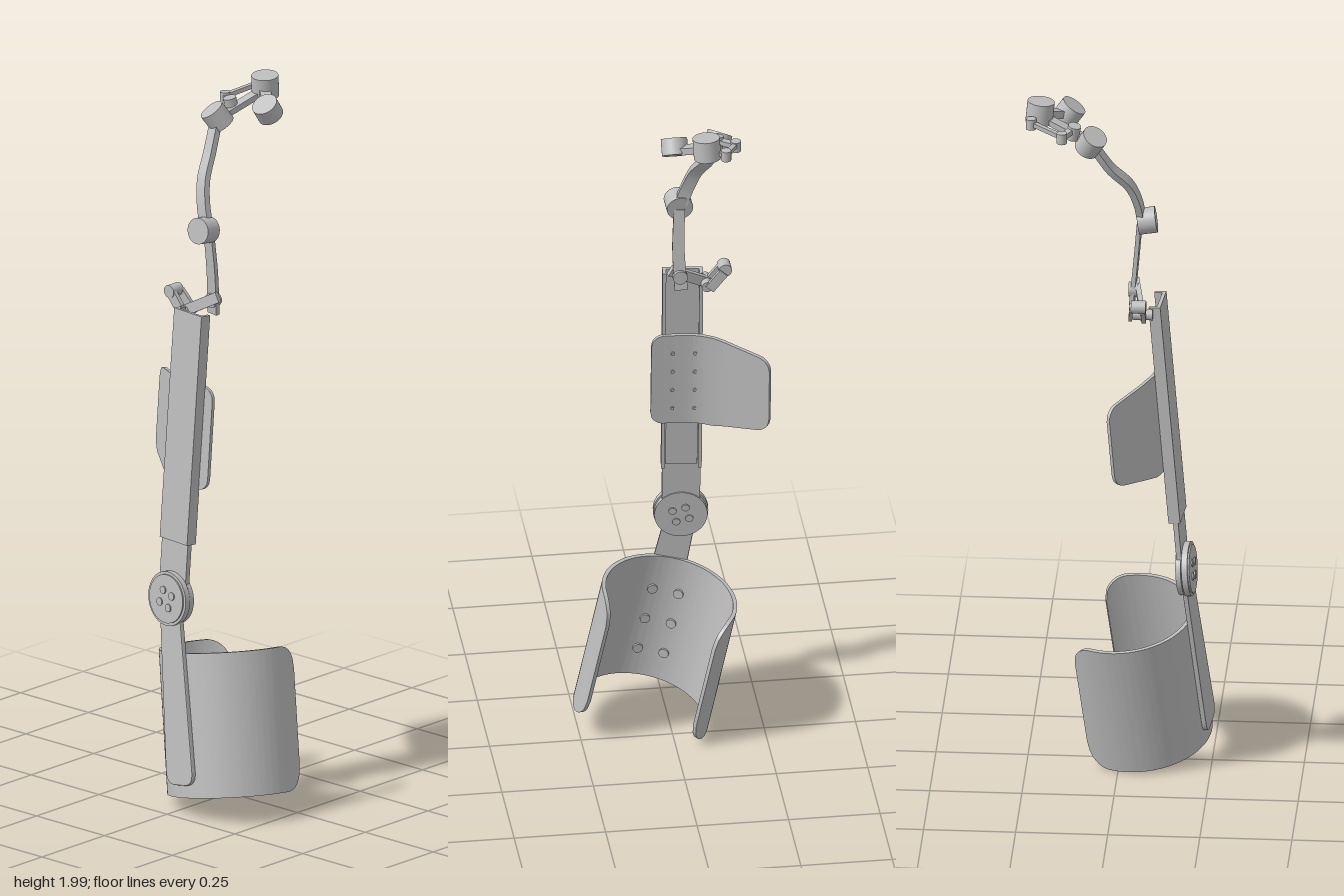
import * as THREE from 'three';
import { toCreasedNormals } from 'three/addons/utils/BufferGeometryUtils.js';

const V = (x, y, z) => new THREE.Vector3(x, y, z);

export function createModel() {
  const root = new THREE.Group();
  root.name = 'legBraceWithArm';
  const grey = new THREE.MeshStandardMaterial({ color: 0xbdbdbd, side: THREE.DoubleSide });
  grey.name = 'metalGrey';

  const add = (parent, name, geo) => {
    const m = new THREE.Mesh(geo, grey);
    m.name = name;
    parent.add(m);
    return m;
  };

  // Turn an object so that its y follows "up" and its z faces "front"
  const orient = (obj, pos, up, front) => {
    const y = up.clone().normalize();
    const x = new THREE.Vector3().crossVectors(y, front).normalize();
    const z = new THREE.Vector3().crossVectors(x, y);
    obj.quaternion.setFromRotationMatrix(new THREE.Matrix4().makeBasis(x, y, z));
    obj.position.copy(pos);
    return obj;
  };
  const section = (name, pos, up, front) => {
    const g = new THREE.Group();
    g.name = name;
    root.add(g);
    return orient(g, pos, up, front);
  };

  // Cylinder centred on pos along axis
  const disc = (parent, name, pos, axis, r, h, seg = 32) => {
    const m = add(parent, name, new THREE.CylinderGeometry(r, r, h, seg));
    m.position.copy(pos);
    m.quaternion.setFromUnitVectors(V(0, 1, 0), axis.clone().normalize());
    return m;
  };
  // Flat bar from a to b
  const bar = (parent, name, a, b, w, t, front = V(0, 0, 1)) => {
    const d = b.clone().sub(a);
    const m = add(parent, name, new THREE.BoxGeometry(w, d.length(), t));
    return orient(m, a.clone().add(b).multiplyScalar(0.5), d, front);
  };
  const box = (parent, name, x0, x1, y0, y1, z0, z1) => {
    const m = add(parent, name, new THREE.BoxGeometry(x1 - x0, y1 - y0, z1 - z0));
    m.position.set((x0 + x1) / 2, (y0 + y1) / 2, (z0 + z1) / 2);
    return m;
  };

  // Skin over four-cornered rings, closed at both ends
  const loft = (rings) => {
    const pos = [];
    const quad = (a, b, c, d) => [a, b, c, a, c, d].forEach((p) => pos.push(p.x, p.y, p.z));
    for (let i = 0; i < rings.length - 1; i++) {
      for (let k = 0; k < 4; k++) {
        const n = (k + 1) % 4;
        quad(rings[i][k], rings[i + 1][k], rings[i + 1][n], rings[i][n]);
      }
    }
    quad(...rings[0]);
    quad(...rings[rings.length - 1].slice().reverse());
    const g = new THREE.BufferGeometry();
    g.setAttribute('position', new THREE.Float32BufferAttribute(pos, 3));
    return toCreasedNormals(g, 0.6);
  };

  // Curved plate: path of [x, z] points from right to left, rounded corners
  const plate = (pts, lo, hi, thick, R) => {
    const lens = [0];
    for (let i = 1; i < pts.length; i++) lens.push(lens[i - 1] + pts[i].distanceTo(pts[i - 1]));
    const total = lens[lens.length - 1];
    return loft(pts.map((p, i) => {
      const t = pts[Math.min(i + 1, pts.length - 1)].clone().sub(pts[Math.max(i - 1, 0)]).normalize();
      const q = V(p.x + t.y * thick, 0, p.y - t.x * thick);
      const e = Math.min(lens[i], total - lens[i]);
      const inset = e < R ? R - Math.sqrt(R * R - (R - e) ** 2) : 0;
      const y0 = lo(lens[i] / total) + inset, y1 = hi(lens[i] / total) - inset;
      return [V(p.x, y0, p.y), V(p.x, y1, p.y), V(q.x, y1, q.z), V(q.x, y0, q.z)];
    }));
  };

  // ---- Thigh bar: channel with a sliding inner bar ----
  const thigh = section('thighSection', V(-0.047, 0.6, 0.188), V(0.005, 1, -0.085), V(-0.09, 0.085, 1));
  box(thigh, 'channelFace', -0.055, 0.055, 0.16, 0.803, -0.01, 0);
  for (const s of [-1, 1]) {
    box(thigh, 'channelFlange', s * 0.05 - 0.005, s * 0.05 + 0.005, 0.16, 0.803, -0.032, -0.01);
  }
  box(thigh, 'innerBar', -0.052, 0.052, 0.03, 0.17, -0.02, -0.006);
  box(thigh, 'innerBarSlide', -0.043, 0.043, 0.17, 0.42, -0.026, -0.011);

  // ---- Knee joint ----
  const Z = V(0, 0, 1);
  disc(thigh, 'kneeDisc', V(0, 0, 0.002), Z, 0.075, 0.016, 48);
  disc(thigh, 'kneeCap', V(0, 0, 0.011), Z, 0.067, 0.006, 48);
  disc(thigh, 'kneeBackDisc', V(0, 0, -0.016), Z, 0.072, 0.014, 48);
  for (let i = 0; i < 4; i++) {
    const a = i * Math.PI / 2 + 0.5;
    for (const z of [0.015, -0.024]) {
      disc(thigh, 'kneeScrew', V(0.026 * Math.cos(a), 0.026 * Math.sin(a), z), Z, 0.011, 0.005, 12);
    }
  }

  // ---- Thigh pad, bent back on the right ----
  const pad = section('thighPad', V(0, 1.04, 0.012), V(0, 1, -0.085), Z);
  const padCurve = new THREE.SplineCurve([[-0.268, -0.015], [-0.2, 0.035], [-0.14, 0.078], [-0.085, 0.104],
    [-0.03, 0.112], [0.043, 0.114]].map(([x, z]) => new THREE.Vector2(x, z)));
  add(pad, 'thighPadShell', plate(padCurve.getPoints(90),
    (u) => -0.14 + 0.04 * Math.max(0, 1 - u / 0.5), (u) => 0.148 - 0.02 * Math.max(0, 1 - u / 0.5), 0.01, 0.035));
  for (const x of [-0.075, -0.015]) {
    for (let i = 0; i < 4; i++) disc(pad, 'padRivet', V(x, -0.09 + i * 0.06, x < -0.05 ? 0.095 : 0.101), Z, 0.005, 0.006, 10);
  }

  // ---- Shin bar with rounded lower end ----
  const shin = section('shinSection', V(-0.05, 0.6, 0.18), V(-0.09, 0.48, -0.056), V(-0.15, 0.1, 1));
  const s = new THREE.Shape();
  s.moveTo(-0.038, 0);
  s.lineTo(-0.053, -0.475);
  s.quadraticCurveTo(-0.053, -0.51, -0.022, -0.51);
  s.lineTo(0.022, -0.51);
  s.quadraticCurveTo(0.053, -0.51, 0.053, -0.475);
  s.lineTo(0.038, 0);
  s.closePath();
  const shinGeo = new THREE.ExtrudeGeometry(s, {
    depth: 0.008, bevelEnabled: true, bevelSize: 0.003, bevelThickness: 0.003, bevelSegments: 2, curveSegments: 8 });
  shinGeo.translate(0, 0, -0.003);
  add(shin, 'shinBar', shinGeo);

  // ---- Shin cuff, open at the back ----
  const cuff = section('shinCuff', V(0.043, 0.243, 0.037), V(-0.073, 0.385, -0.045), Z);
  const arc = [];
  for (let i = 0; i <= 120; i++) {
    const a = THREE.MathUtils.degToRad(-138 + 252 * i / 120);
    arc.push(new THREE.Vector2(0.187 * Math.sin(a), 0.187 * Math.cos(a)));
  }
  add(cuff, 'shinCuffShell', plate(arc, () => -0.198, () => 0.198, 0.011, 0.07));
  for (const deg of [-22, 2]) {
    for (let i = 0; i < 3; i++) {
      const a = THREE.MathUtils.degToRad(deg), n = V(Math.sin(a), 0, Math.cos(a));
      disc(cuff, 'cuffScrew', n.clone().multiplyScalar(0.174).setY(-0.11 + i * 0.1), n, 0.014, 0.008, 14);
    }
  }

  // ---- Forked bracket at the top of the thigh bar ----
  const bracket = section('forkBracket', V(0, 0, 0), V(0, 1, 0), Z);
  bar(bracket, 'forkLeftArm', V(-0.11, 1.375, 0.07), V(0.0, 1.435, 0.045), 0.03, 0.014);
  bar(bracket, 'forkRightArm', V(-0.105, 1.37, 0.072), V(-0.15, 1.425, 0.072), 0.03, 0.012);
  bar(bracket, 'forkRightPlate', V(-0.105, 1.375, 0.035), V(-0.145, 1.42, 0.04), 0.028, 0.01);
  disc(bracket, 'forkPivot', V(-0.15, 1.425, 0.06), Z, 0.018, 0.04, 20);
  disc(bracket, 'forkBase', V(-0.1, 1.38, 0.065), Z, 0.015, 0.06, 20);
  disc(bracket, 'armFoot', V(-0.025, 1.42, 0.038), Z, 0.02, 0.026, 20);

  // ---- Jointed arm ----
  const arm = section('jointedArm', V(0, 0, 0), V(0, 1, 0), Z);
  const strap = (name, pts, w0, w1, t) => {
    const curve = new THREE.CatmullRomCurve3(pts);
    const n = 24;
    add(arm, name, loft(Array.from({ length: n + 1 }, (_, i) => {
      const p = curve.getPoint(i / n), tan = curve.getTangent(i / n);
      const side = V(0.95, 0.2, 0.1);
      side.addScaledVector(tan, -side.dot(tan)).normalize();
      const nor = new THREE.Vector3().crossVectors(side, tan).multiplyScalar(t / 2);
      side.multiplyScalar(THREE.MathUtils.lerp(w0, w1, i / n) / 2);
      return [[-1, -1], [1, -1], [1, 1], [-1, 1]].map(([a, b]) =>
        p.clone().addScaledVector(side, a).addScaledVector(nor, b));
    })));
  };
  strap('lowerArm', [V(-0.028, 1.38, 0.034), V(-0.022, 1.5, 0.045), V(-0.026, 1.62, 0.055)], 0.036, 0.03, 0.012);
  disc(arm, 'elbowJoint', V(-0.026, 1.627, 0.075), V(0.05, 0.15, 1), 0.036, 0.05);
  strap('upperArm', [V(-0.03, 1.635, 0.06), V(-0.048, 1.69, 0.052), V(-0.068, 1.75, 0.03),
    V(-0.092, 1.81, -0.02), V(-0.108, 1.875, -0.06)], 0.036, 0.032, 0.018);

  // Cylinder joints at the tip
  disc(arm, 'wristJoint', V(-0.112, 1.895, -0.072), V(-0.35, 0.8, 0.45), 0.035, 0.055);
  disc(arm, 'topJoint', V(-0.065, 1.962, -0.213), V(0.05, 1, 0.1), 0.037, 0.06);
  disc(arm, 'endJoint', V(0.013, 1.928, -0.138), V(0, 0.8, 0.55), 0.036, 0.046);

  // Links between the joints
  const up = V(0, 1, 0);
  bar(arm, 'wristLink', V(-0.1, 1.905, -0.1), V(-0.07, 1.945, -0.2), 0.03, 0.016, up);
  bar(arm, 'endLink', V(-0.05, 1.95, -0.195), V(0.005, 1.925, -0.15), 0.03, 0.02, up);
  bar(arm, 'sideLink', V(-0.105, 1.93, -0.122), V(-0.153, 1.925, -0.148), 0.018, 0.014, up);
  bar(arm, 'sideRod', V(-0.153, 1.928, -0.148), V(-0.115, 1.95, -0.235), 0.014, 0.012, up);
  bar(arm, 'topLink', V(-0.115, 1.95, -0.235), V(-0.075, 1.955, -0.218), 0.016, 0.012, up);
  disc(arm, 'wristPin', V(-0.105, 1.922, -0.12), V(-0.1, 1, 0.2), 0.018, 0.04, 20);
  disc(arm, 'sidePin', V(-0.153, 1.925, -0.148), up, 0.014, 0.03, 20);
  disc(arm, 'topPin', V(-0.115, 1.948, -0.234), up, 0.014, 0.03, 20);

  return root;
}
